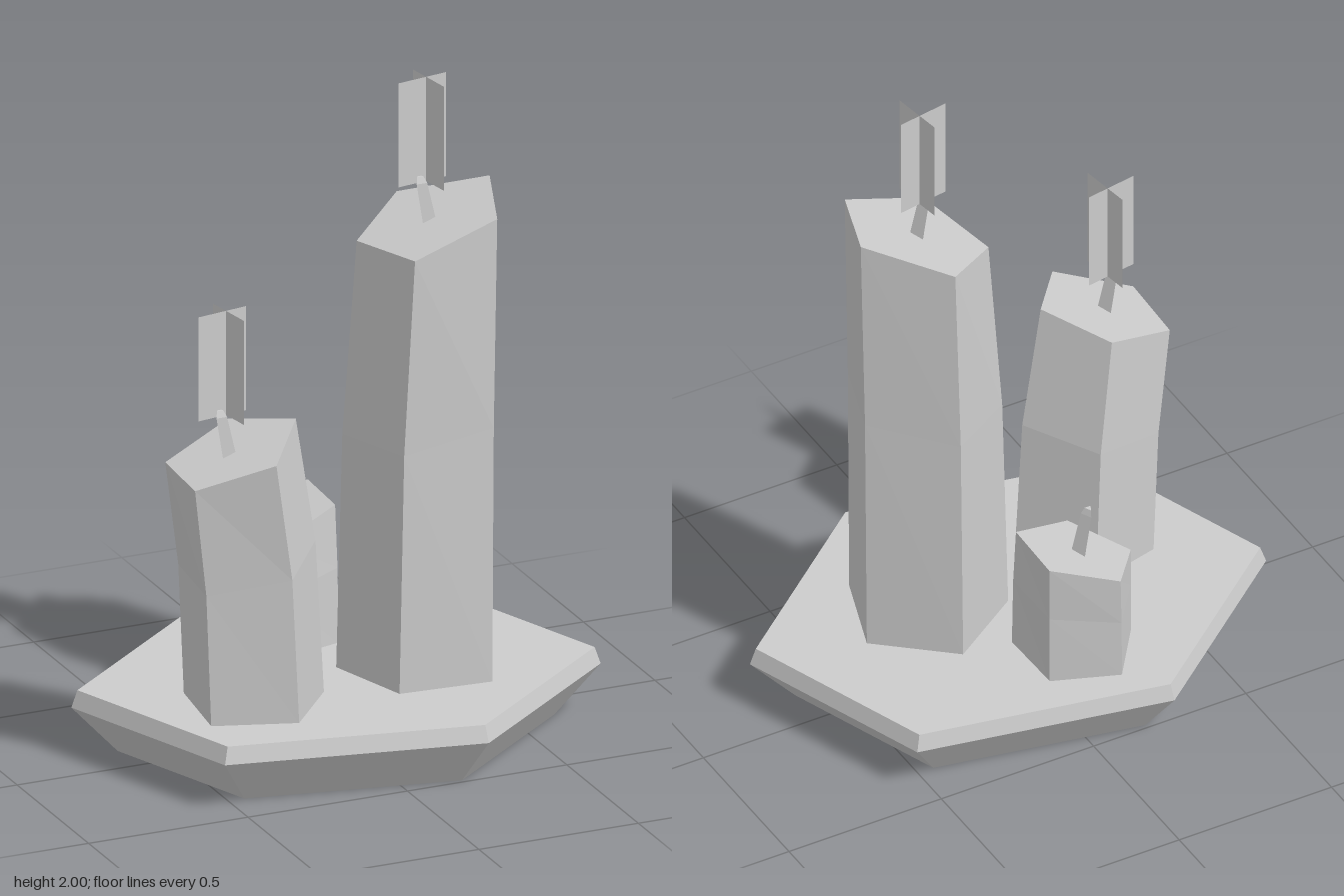
import * as THREE from 'three';

const stone = new THREE.MeshStandardMaterial({ color: 0xcccccc, flatShading: true, side: THREE.DoubleSide });
stone.name = 'plain grey';

// Closed solid through matching rings of [x, y, z], ordered clockwise from above
function loft(name, rings) {
  const n = rings[0].length, pos = [];
  const tri = (a, b, c) => pos.push(...a, ...b, ...c);
  for (let r = 0; r < rings.length - 1; r++) {
    const lo = rings[r], hi = rings[r + 1];
    for (let i = 0; i < n; i++) {
      const j = (i + 1) % n;
      tri(lo[i], hi[i], hi[j]);
      tri(lo[i], hi[j], lo[j]);
    }
  }
  const bottom = rings[0], top = rings[rings.length - 1];
  for (let i = 1; i < n - 1; i++) {
    tri(bottom[0], bottom[i], bottom[i + 1]);
    tri(top[0], top[i + 1], top[i]);
  }
  const geo = new THREE.BufferGeometry();
  geo.setAttribute('position', new THREE.Float32BufferAttribute(pos, 3));
  geo.computeVertexNormals();
  const mesh = new THREE.Mesh(geo, stone);
  mesh.name = name;
  return mesh;
}

// Leaning five-sided candle body with a slanted top and a slight bend halfway up
function candleBody({ foot, head, rise }) {
  const low = foot.map(([x, z]) => [x, 0.195, z]);
  const high = head.map(([x, z]) => [x, rise + 0.35 * x, z]);
  const bend = low.map((p, i) => [
    THREE.MathUtils.lerp(p[0], high[i][0], 0.3),
    THREE.MathUtils.lerp(p[1], high[i][1], 0.55),
    THREE.MathUtils.lerp(p[2], high[i][2], 0.3),
  ]);
  return loft('candleBody', [low, bend, high]);
}

// Three-sided tapering wick that leans towards -x
function wick([x, y, z]) {
  const ring = (cx, cy, s) => [[cx, cy, z - 0.025 * s], [cx + 0.022 * s, cy, z + 0.018 * s], [cx - 0.022 * s, cy, z + 0.018 * s]];
  return loft('wick', [ring(x + 0.005, y - 0.03, 1), ring(x - 0.022, y + 0.115, 0.75), ring(x - 0.025, y + 0.135, 0.45)]);
}

// Flame made of two crossed upright cards
function flame([x, y, z]) {
  const group = new THREE.Group();
  group.name = 'flame';
  const turn = THREE.MathUtils.degToRad(9);
  [[-0.015, 0, turn], [0, 0.01, turn + Math.PI / 2]].forEach(([dx, dz, angle]) => {
    const card = new THREE.Mesh(new THREE.PlaneGeometry(0.162, 0.32), stone);
    card.name = 'flameCard';
    card.position.set(x + dx, y + 0.275, z + dz);
    card.rotation.y = angle;
    group.add(card);
  });
  return group;
}

const candles = [
  {
    name: 'tallCandle', rise: 1.477, lit: true, wickAt: [0.255, 1.565, 0.068],
    foot: [[0.005, -0.01], [0.24, -0.165], [0.455, 0.015], [0.367, 0.275], [0.085, 0.255]],
    head: [[0.067, -0.005], [0.26, -0.155], [0.475, 0.015], [0.387, 0.265], [0.13, 0.263]],
  },
  {
    name: 'middleCandle', rise: 1.127, lit: true, wickAt: [-0.413, 0.985, 0.158],
    foot: [[-0.475, -0.005], [-0.255, -0.06], [-0.105, 0.15], [-0.27, 0.345], [-0.51, 0.265]],
    head: [[-0.552, 0.037], [-0.33, -0.02], [-0.2, 0.165], [-0.348, 0.36], [-0.563, 0.27]],
  },
  {
    name: 'shortCandle', rise: 0.581, lit: false, wickAt: [-0.06, 0.575, -0.322],
    foot: [[-0.11, -0.47], [0.085, -0.395], [0.09, -0.183], [-0.11, -0.13], [-0.235, -0.3]],
    head: [[-0.1, -0.48], [0.097, -0.415], [0.09, -0.207], [-0.108, -0.155], [-0.225, -0.317]],
  },
];

export function createModel() {
  const model = new THREE.Group();
  model.name = 'candleTray';

  // Six-sided tray: narrow foot, widest rim, bevelled top
  const half = [[-0.215, -0.59], [0.545, -0.44], [0.762, 0.152]];
  const outline = [...half, ...half.map(([x, z]) => [-x, -z])];
  const levels = [[0, 0.825], [0.145, 1], [0.197, 0.977]];
  model.add(loft('tray', levels.map(([y, s]) => outline.map(([x, z]) => [x * s, y, z * s]))));

  for (const c of candles) {
    const candle = new THREE.Group();
    candle.name = c.name;
    candle.add(candleBody(c), wick(c.wickAt));
    if (c.lit) candle.add(flame(c.wickAt));
    model.add(candle);
  }
  return model;
}
